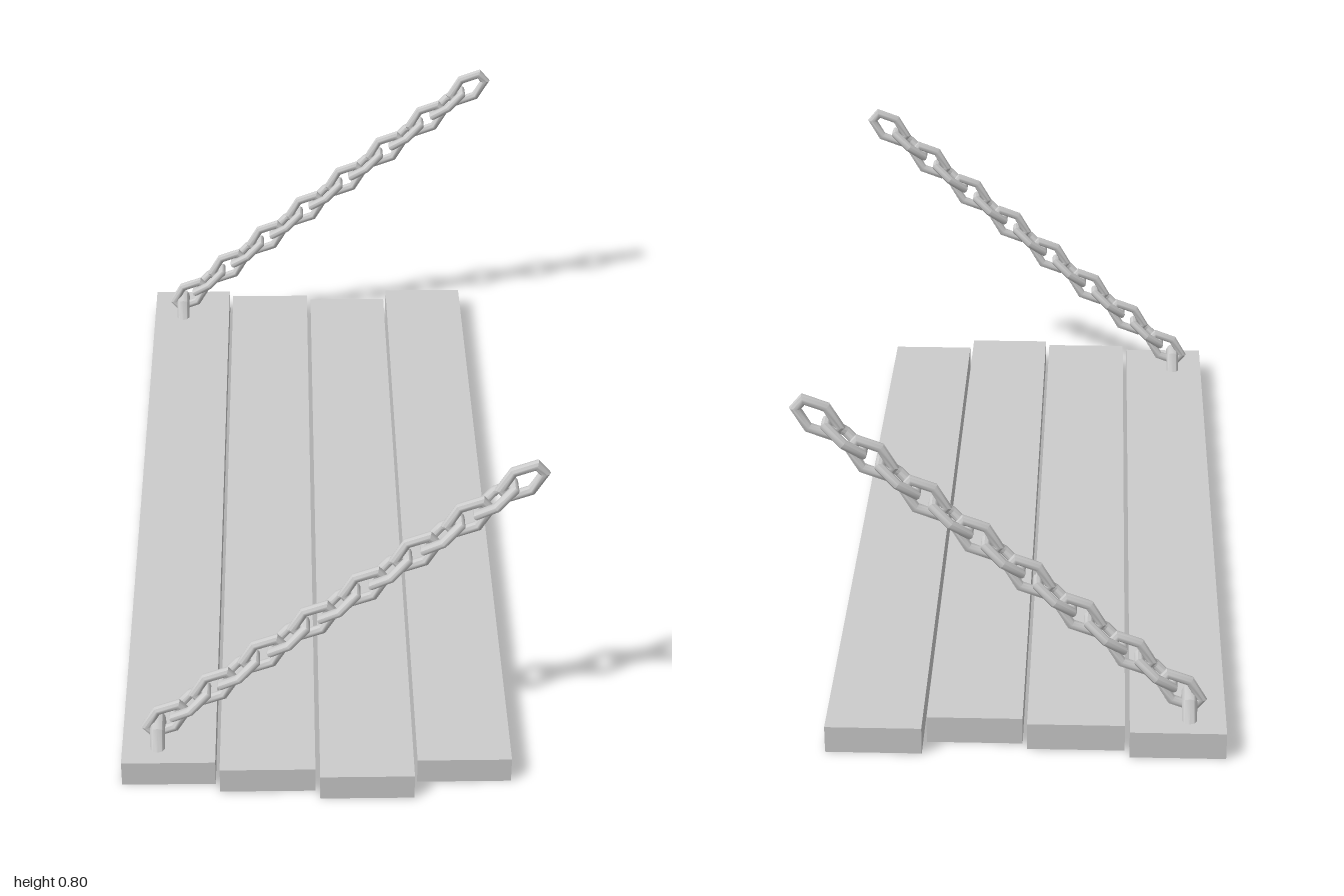
import * as THREE from 'three';
import { toCreasedNormals } from 'three/addons/utils/BufferGeometryUtils.js';

const SIDES = 10;

// Round bar swept along straight segments in the xy plane, with mitred corners
function bar(points, radius, closed) {
  const p = points.map(([x, y]) => new THREE.Vector2(x, y));
  const n = p.length;
  const segments = closed ? n : n - 1;
  const normal = (i) => {
    const d = p[(i + 1) % n].clone().sub(p[i]).normalize();
    return new THREE.Vector2(-d.y, d.x);
  };
  const positions = [];
  const index = [];
  for (let i = 0; i < n; i++) {
    const before = normal(closed ? (i + n - 1) % n : Math.max(i - 1, 0));
    const after = normal(closed ? i : Math.min(i, n - 2));
    const mitre = before.clone().add(after).divideScalar(1 + before.dot(after));
    for (let j = 0; j < SIDES; j++) {
      const a = (j / SIDES) * Math.PI * 2;
      const c = radius * Math.cos(a);
      positions.push(p[i].x + c * mitre.x, p[i].y + c * mitre.y, radius * Math.sin(a));
    }
  }
  for (let i = 0; i < segments; i++) {
    for (let j = 0; j < SIDES; j++) {
      const k = (j + 1) % SIDES;
      const a = i * SIDES + j, b = i * SIDES + k;
      const c = ((i + 1) % n) * SIDES + j, d = ((i + 1) % n) * SIDES + k;
      index.push(a, b, c, b, d, c);
    }
  }
  const geometry = new THREE.BufferGeometry();
  geometry.setAttribute('position', new THREE.Float32BufferAttribute(positions, 3));
  geometry.setIndex(index);
  return toCreasedNormals(geometry, 0.68);
}

export function createModel() {
  const model = new THREE.Group();
  model.name = 'hangingPlatform';
  const material = new THREE.MeshStandardMaterial({ color: 0xcccccc });

  // Four planks with staggered ends: x from, x to, z from, z to
  const height = 0.062;
  const planks = [
    [-0.455, -0.25, -1, 0.95],
    [-0.24, -0.032, -0.975, 0.975],
    [-0.022, 0.183, -0.955, 1],
    [0.191, 0.397, -1, 0.95],
  ];
  planks.forEach(([x0, x1, z0, z1], i) => {
    const plank = new THREE.Mesh(new THREE.BoxGeometry(x1 - x0, height, z1 - z0), material);
    plank.position.set((x0 + x1) / 2, height / 2, (z0 + z1) / 2);
    plank.name = `plank${i + 1}`;
    model.add(plank);
  });

  // Stretched six-sided chain link and the staple that holds the chain
  const linkGeometry = bar(
    [[0.047, -0.013], [0.047, 0.013], [0, 0.03], [-0.047, 0.013], [-0.047, -0.013], [0, -0.03]],
    0.0105, true);
  const stapleGeometry = bar(
    [[-0.055, 0.03], [-0.021, 0.091], [0.021, 0.091], [0.055, 0.03]], 0.017, false);
  stapleGeometry.rotateY(Math.PI / 2);

  // One slanting chain on each end, alternate links turned a quarter
  const linkCount = 15;
  const step = new THREE.Vector2(0.0539, 0.0454);
  for (const [side, z] of [['front', 0.86], ['back', -0.908]]) {
    const chain = new THREE.Group();
    chain.name = `${side}Chain`;
    chain.position.set(-0.358, 0.112, z);
    chain.rotation.z = step.angle();
    for (let i = 0; i < linkCount; i++) {
      const link = new THREE.Mesh(linkGeometry, material);
      link.name = `${side}Link${i + 1}`;
      link.position.x = i * step.length();
      link.rotation.x = (i % 2) * Math.PI / 2;
      chain.add(link);
    }
    const staple = new THREE.Mesh(stapleGeometry, material);
    staple.name = `${side}Staple`;
    staple.position.set(-0.377, 0, z);
    model.add(chain, staple);
  }
  return model;
}
